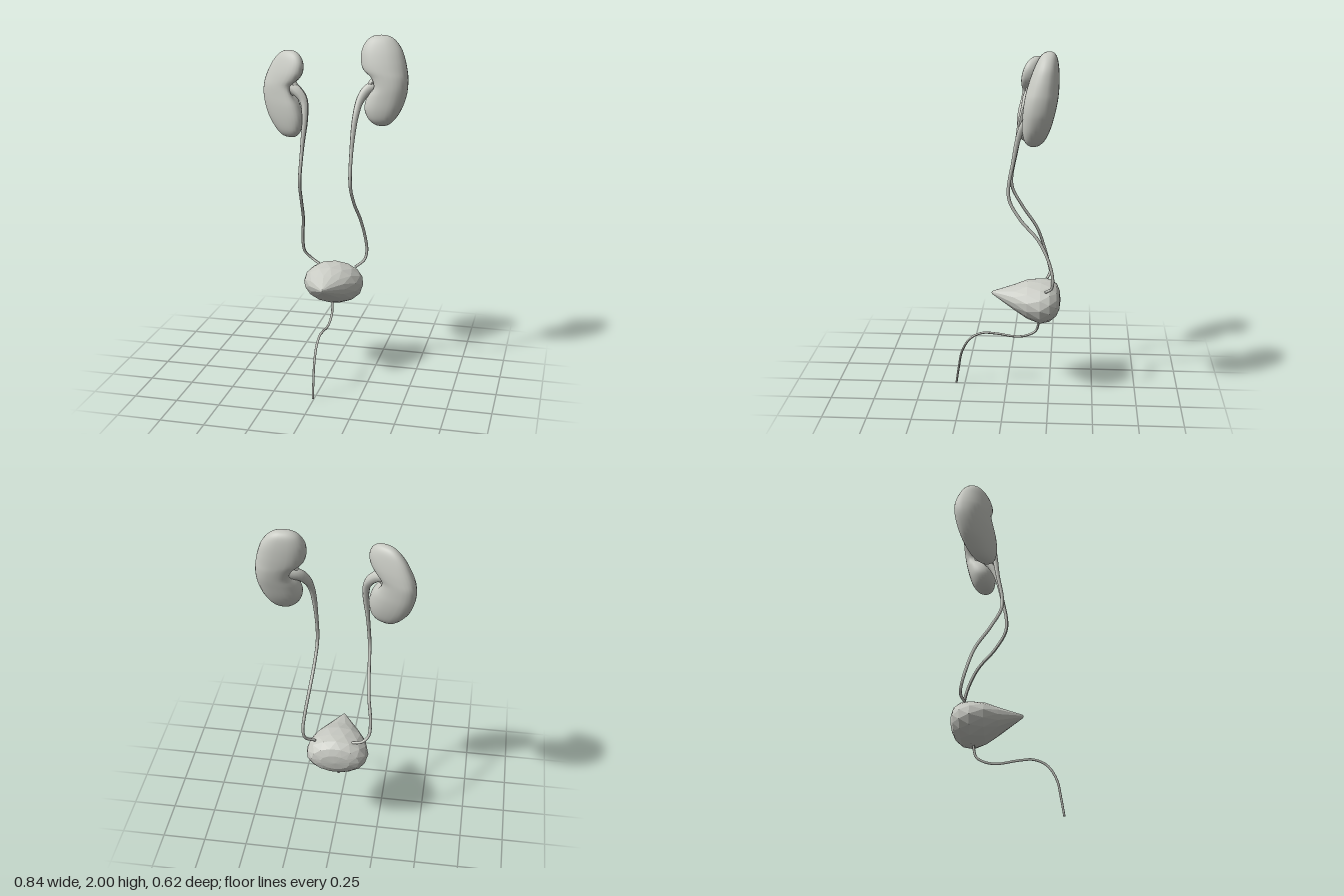
import * as THREE from 'three';
import { mergeVertices } from 'three/addons/utils/BufferGeometryUtils.js';

const V = (x, y, z) => new THREE.Vector3(x, y, z);

// Skin a stack of equal-length closed rings.
function loft(rings) {
  const n = rings[0].length, index = [];
  for (let i = 0; i < rings.length - 1; i++) {
    for (let j = 0; j < n; j++) {
      const a = i * n + j, b = i * n + (j + 1) % n;
      index.push(a, b, a + n, b, b + n, a + n);
    }
  }
  let geo = new THREE.BufferGeometry().setFromPoints(rings.flat());
  geo.setIndex(index);
  geo = mergeVertices(geo, 1e-5);
  geo.computeVertexNormals();
  return geo;
}

const full = v => Math.sign(v) * Math.abs(v) ** 0.86;

// Rows: [y, inner x, outer x, half depth]; lean(x, y) gives the centre z.
function kidneyGeometry(rows, side, hilumY, lean) {
  const inner = new THREE.CatmullRomCurve3(rows.map(r => V(r[1], r[0], r[3])));
  const outer = new THREE.CatmullRomCurve3(rows.map(r => V(r[2], r[0], r[3])));
  const rings = [], steps = 52, sides = 28;
  for (let i = 0; i <= steps; i++) {
    const p = inner.getPoint(i / steps), q = outer.getPoint(i / steps);
    const cx = (p.x + q.x) / 2, a = Math.abs(q.x - p.x) / 2;
    const ring = [];
    for (let j = 0; j < sides; j++) {
      const t = j / sides * Math.PI * 2;
      // slit pressed into the medial side
      const notch = 0.035 * Math.max(0, -side * Math.cos(t)) ** 8 * Math.exp(-(((p.y - hilumY) / 0.05) ** 2));
      const x = cx + a * full(Math.cos(t)) + side * notch;
      ring.push(V(x, p.y, lean(x, p.y) + p.z * full(Math.sin(t))));
    }
    rings.push(ring);
  }
  return loft(rings);
}

// Tube whose radius follows a list of values spread along its length.
function taperedTube(points, radii, segments = 80, sides = 10) {
  const curve = new THREE.CatmullRomCurve3(points.map(p => V(...p)));
  const geo = new THREE.TubeGeometry(curve, segments, 1, sides);
  const pos = geo.attributes.position, v = V();
  for (let i = 0; i < pos.count; i++) {
    const u = Math.floor(i / (sides + 1)) / segments;
    const f = u * (radii.length - 1), k = Math.min(Math.floor(f), radii.length - 2);
    const r = THREE.MathUtils.lerp(radii[k], radii[k + 1], f - k);
    const c = curve.getPointAt(u);
    v.fromBufferAttribute(pos, i).sub(c).multiplyScalar(r).add(c);
    pos.setXYZ(i, v.x, v.y, v.z);
  }
  geo.computeVertexNormals();
  return geo;
}

export function createModel() {
  const model = new THREE.Group();
  const tissue = new THREE.MeshStandardMaterial({ color: 0xc8cac3 });
  tissue.name = 'tissueGrey';
  const faceted = tissue.clone();
  faceted.flatShading = true;
  const add = (name, geo, mat = tissue) => {
    const mesh = new THREE.Mesh(geo, mat);
    mesh.name = name;
    model.add(mesh);
  };

  // Kidneys
  add('leftKidney', kidneyGeometry([
    [2.0, 0.26, 0.26, 0], [1.993, 0.215, 0.305, 0.026], [1.97, 0.18, 0.342, 0.046],
    [1.92, 0.153, 0.38, 0.064], [1.86, 0.15, 0.402, 0.077], [1.81, 0.163, 0.414, 0.084],
    [1.77, 0.2, 0.42, 0.087], [1.72, 0.215, 0.421, 0.087], [1.67, 0.195, 0.416, 0.084],
    [1.6, 0.181, 0.394, 0.076], [1.55, 0.198, 0.365, 0.062], [1.52, 0.225, 0.338, 0.044],
    [1.505, 0.252, 0.313, 0.023], [1.5, 0.285, 0.285, 0],
  ], 1, 1.735, (x, y) => -0.198 - 0.16 * (y - 1.75)));
  add('rightKidney', kidneyGeometry([
    [1.91, -0.25, -0.25, 0], [1.903, -0.213, -0.292, 0.024], [1.88, -0.181, -0.327, 0.043],
    [1.84, -0.162, -0.362, 0.059], [1.79, -0.165, -0.39, 0.073], [1.75, -0.185, -0.407, 0.08],
    [1.71, -0.213, -0.417, 0.084], [1.66, -0.2, -0.42, 0.085], [1.6, -0.176, -0.409, 0.084],
    [1.53, -0.16, -0.382, 0.075], [1.47, -0.168, -0.338, 0.059], [1.44, -0.186, -0.308, 0.042],
    [1.425, -0.208, -0.282, 0.023], [1.42, -0.245, -0.245, 0],
  ], -1, 1.685, (x, y) => -0.157 + 0.45 * (x + 0.29) - 0.08 * (y - 1.66)));

  // Ureters, widening into the renal pelvis at the top
  const flare = [0.036, 0.03, 0.021, 0.017, 0.014, 0.011, 0.01, 0.01, 0.009, 0.009, 0.009, 0.009, 0.009, 0.009, 0.008, 0.008];
  add('leftUreter', taperedTube([
    [0.26, 1.72, -0.195], [0.205, 1.705, -0.17], [0.165, 1.65, -0.135], [0.147, 1.56, -0.085],
    [0.135, 1.39, -0.045], [0.134, 1.18, -0.018], [0.143, 1.06, -0.08], [0.158, 0.94, -0.185],
    [0.175, 0.82, -0.245], [0.183, 0.72, -0.268], [0.17, 0.665, -0.262], [0.12, 0.625, -0.228],
  ], flare));
  add('rightUreter', taperedTube([
    [-0.26, 1.715, -0.135], [-0.2, 1.69, -0.11], [-0.155, 1.64, -0.095], [-0.14, 1.55, -0.07],
    [-0.15, 1.39, -0.045], [-0.16, 1.18, -0.018], [-0.166, 1.06, -0.075], [-0.178, 0.92, -0.165],
    [-0.194, 0.79, -0.21], [-0.188, 0.70, -0.235], [-0.15, 0.658, -0.245], [-0.095, 0.63, -0.226],
  ], flare));

  // Short branches reaching into each hilum
  for (const [name, x, y, z, s] of [['left', 0.2, 1.7, -0.17, 1], ['right', -0.195, 1.685, -0.11, -1]]) {
    for (const d of [1, -1]) {
      add(name + (d > 0 ? 'UpperCalyx' : 'LowerCalyx'), taperedTube([
        [x, y - 0.01, z], [x + s * 0.025, y + 0.02 + d * 0.025, z - 0.005], [x + s * 0.07, y + 0.02 + d * 0.045, z - 0.025],
      ], [0.017, 0.02, 0.024], 10));
    }
  }

  // Bladder: [z, half width, bottom y, top y] from the pointed front to the blunt back
  const bladder = [
    [0.09, 0, 0.573, 0.573], [0.085, 0.007, 0.563, 0.582], [-0.045, 0.108, 0.478, 0.62],
    [-0.12, 0.157, 0.431, 0.646], [-0.195, 0.18, 0.403, 0.653], [-0.25, 0.171, 0.417, 0.649],
    [-0.288, 0.138, 0.45, 0.622], [-0.305, 0.085, 0.488, 0.583], [-0.31, 0, 0.535, 0.535],
  ];
  add('bladder', loft(bladder.map(([z, w, lo, hi], i) => Array.from({ length: 14 }, (_, j) => {
    // each ring turns half a step so the facets interlock
    const t = (j + i / 2) / 14 * Math.PI * 2;
    return V(-0.004 + w * Math.cos(t), (lo + hi) / 2 - (hi - lo) / 2 * Math.sin(t), z);
  }))), faceted);

  // Urethra with a closed lower end
  add('urethra', taperedTube([
    [-0.006, 0.43, -0.188], [-0.006, 0.39, -0.184], [-0.006, 0.342, -0.17], [-0.006, 0.31, -0.115],
    [-0.006, 0.302, -0.05], [-0.006, 0.317, 0.06], [-0.006, 0.319, 0.145], [-0.006, 0.282, 0.217],
    [-0.006, 0.2, 0.266], [-0.006, 0.105, 0.285], [-0.006, 0.001, 0.301],
  ], [0.007, 0.007, 0.006], 60, 8));
  add('urethraOpening', new THREE.CircleGeometry(0.006, 8).rotateX(Math.PI / 2).translate(-0.006, 0.001, 0.301));

  return model;
}
